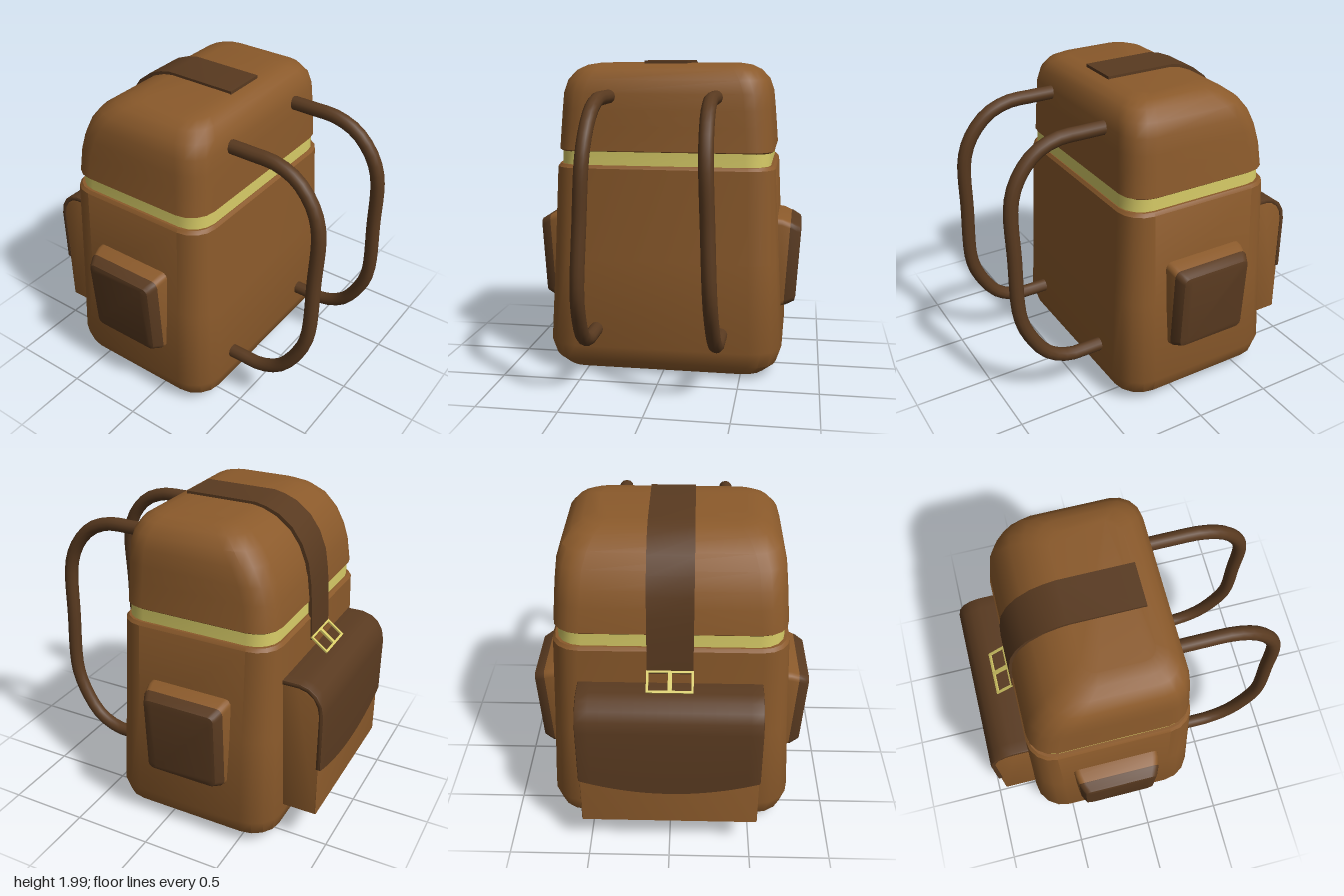
import * as THREE from 'three';
import { toCreasedNormals } from 'three/addons/utils/BufferGeometryUtils.js';

const leather = new THREE.MeshStandardMaterial({ color: 0x8b5a2b });
const darkLeather = new THREE.MeshStandardMaterial({ color: 0x593a20 });
const yellow = new THREE.MeshStandardMaterial({ color: 0xd6ca66 });

function part(parent, name, geometry, material) {
  const mesh = new THREE.Mesh(geometry, material);
  mesh.name = name;
  parent.add(mesh);
  return mesh;
}

// Closed loft of rounded rectangles; each section is [y, halfWidth, zFront, zBack, cornerRadius]
function loft(sections, crease = 0.6, steps = 4) {
  const pos = [], index = [];
  const n = 4 * (steps + 1);
  for (const [y, hx, zf, zb, r] of sections) {
    const zc = (zf + zb) / 2, hz = (zf - zb) / 2;
    for (let q = 0; q < 4; q++) {
      const sx = q === 0 || q === 3 ? 1 : -1, sz = q < 2 ? 1 : -1;
      for (let k = 0; k <= steps; k++) {
        const a = (q + k / steps) * Math.PI / 2;
        pos.push(sx * (hx - r) + r * Math.cos(a), y, zc + sz * (hz - r) + r * Math.sin(a));
      }
    }
  }
  const last = sections.length - 1;
  for (let j = 0; j < last; j++) {
    for (let i = 0; i < n; i++) {
      const a = j * n + i, b = j * n + (i + 1) % n;
      index.push(a, a + n, b, b, a + n, b + n);
    }
  }
  for (let i = 1; i < n - 1; i++) {
    index.push(0, i, i + 1, last * n, last * n + i + 1, last * n + i);
  }
  const geo = new THREE.BufferGeometry();
  geo.setAttribute('position', new THREE.Float32BufferAttribute(pos, 3));
  geo.setIndex(index);
  return toCreasedNormals(geo, crease);
}

// Side profile of [z, y] points extruded across x; rule may move the vertices
function across(profile, width, steps = 1, bevel = 0, rule = null) {
  const shape = new THREE.Shape(profile.map(([z, y]) => new THREE.Vector2(-z, y)));
  const depth = width - 2 * bevel;
  const geo = new THREE.ExtrudeGeometry(shape, {
    depth, steps, bevelEnabled: bevel > 0, bevelSize: bevel, bevelThickness: bevel,
    bevelOffset: -bevel, bevelSegments: 2,
  });
  geo.translate(0, 0, -depth / 2);
  geo.rotateY(Math.PI / 2);
  if (rule) {
    const p = geo.attributes.position;
    for (let i = 0; i < p.count; i++) p.setY(i, rule(p.getX(i), p.getY(i), p.getZ(i)));
  }
  return toCreasedNormals(geo, 0.6);
}

// Thin closed band: a path of [z, y] points thickened along its normal
function band(path, thickness) {
  const inner = path.map(([z, y], i) => {
    const a = path[Math.max(i - 1, 0)], b = path[Math.min(i + 1, path.length - 1)];
    const dz = b[0] - a[0], dy = b[1] - a[1], l = Math.hypot(dz, dy);
    return [z - dy / l * thickness, y + dz / l * thickness];
  });
  return [...path, ...inner.reverse()];
}

export function createModel() {
  const bag = new THREE.Group();
  bag.name = 'backpack';

  // Main compartment, yellow seam and lid
  part(bag, 'body', loft([
    [0.005, 0.55, 0.24, -0.58, 0.1], [0.03, 0.65, 0.31, -0.65, 0.14],
    [0.09, 0.725, 0.36, -0.7, 0.18], [0.19, 0.758, 0.385, -0.722, 0.2],
    [0.75, 0.725, 0.36, -0.7, 0.18], [1.335, 0.695, 0.335, -0.68, 0.16],
    [1.355, 0.68, 0.32, -0.665, 0.15],
  ]), leather);
  part(bag, 'seamBand', loft([
    [1.34, 0.665, 0.315, -0.655, 0.15], [1.45, 0.662, 0.312, -0.65, 0.15],
  ]), yellow);
  part(bag, 'lid', loft([
    [1.435, 0.67, 0.305, -0.655, 0.15], [1.445, 0.684, 0.32, -0.667, 0.16],
    [1.6, 0.672, 0.314, -0.647, 0.16], [1.7, 0.664, 0.31, -0.617, 0.16],
    [1.8, 0.655, 0.304, -0.567, 0.16], [1.88, 0.63, 0.288, -0.505, 0.16],
    [1.94, 0.575, 0.25, -0.42, 0.14], [1.97, 0.515, 0.2, -0.345, 0.12],
    [1.982, 0.44, 0.14, -0.28, 0.08],
  ]), leather);

  // Strap over the lid, running down the back to the buckle
  part(bag, 'lidStrap', across(band([
    [0.155, 1.998], [-0.3, 1.998], [-0.37, 1.982], [-0.45, 1.95], [-0.54, 1.88],
    [-0.605, 1.79], [-0.65, 1.68], [-0.672, 1.55], [-0.685, 1.4], [-0.695, 1.19],
  ], 0.022), 0.27), darkLeather);

  // Buckle: flat frame with a middle bar
  const frame = new THREE.Shape();
  const rect = (path, x0, y0, x1, y1) => {
    path.moveTo(x0, y0).lineTo(x1, y0).lineTo(x1, y1).lineTo(x0, y1).closePath();
    return path;
  };
  rect(frame, -0.138, 0, 0.138, 0.135);
  for (const [a, b] of [[-0.124, -0.012], [0.012, 0.124]]) {
    frame.holes.push(rect(new THREE.Path(), a, 0.014, b, 0.121));
  }
  const buckleGeo = new THREE.ExtrudeGeometry(frame, { depth: 0.012, bevelEnabled: false });
  const buckle = part(bag, 'buckle', buckleGeo, yellow);
  buckle.position.set(0, 1.205, -0.685);
  buckle.rotation.x = Math.PI + 0.92;

  // Back pocket and its curved flap
  part(bag, 'backPocket', across([
    [-0.62, 0.24], [-0.62, 1.1], [-0.78, 1.1], [-0.86, 1.07], [-0.91, 1.02],
    [-0.93, 0.93], [-0.932, 0.24],
  ], 1.08, 1, 0.008), leather);
  part(bag, 'pocketFlap', across(band([
    [-0.64, 1.12], [-0.79, 1.12], [-0.85, 1.103], [-0.9, 1.065], [-0.932, 1.01],
    [-0.946, 0.94], [-0.946, 0.48],
  ], 0.03), 1.09, 16, 0.008,
  (x, y) => y < 0.6 ? y + 0.09 * (x / 0.54) ** 2 : y), darkLeather);

  // Side pockets: pale base with a dark padded panel
  for (const side of [1, -1]) {
    const pocket = new THREE.Group();
    pocket.name = side > 0 ? 'leftSidePocket' : 'rightSidePocket';
    part(pocket, 'pocketBase', loft([
      [-0.08, 0.3, 0.105, -0.445, 0.04], [0.0, 0.295, 0.1, -0.44, 0.04],
      [0.06, 0.275, 0.086, -0.426, 0.04],
    ]), leather);
    part(pocket, 'pocketPanel', loft([
      [0.03, 0.28, 0.089, -0.429, 0.04], [0.06, 0.277, 0.088, -0.428, 0.04],
      [0.1, 0.258, 0.07, -0.41, 0.04], [0.116, 0.25, 0.06, -0.4, 0.035],
      [0.122, 0.225, 0.035, -0.375, 0.03],
    ], 0.7), darkLeather);
    pocket.position.set(side * 0.728, 0.707, 0);
    pocket.rotation.z = -side * (Math.PI / 2 + 0.06);
    bag.add(pocket);
  }

  // Shoulder straps: bent tubes leaning outward towards the bottom
  const strapPath = [
    [0.26, 1.78], [0.45, 1.78], [0.6, 1.775], [0.74, 1.72], [0.85, 1.6], [0.907, 1.45],
    [0.913, 1.1], [0.907, 0.7], [0.85, 0.54], [0.74, 0.385], [0.6, 0.315],
    [0.45, 0.31], [0.3, 0.31],
  ];
  for (const [name, top, bottom] of [['leftStrap', 0.33, 0.382], ['rightStrap', -0.335, -0.415]]) {
    const curve = new THREE.CatmullRomCurve3(strapPath.map(([z, y]) =>
      new THREE.Vector3(THREE.MathUtils.mapLinear(y, 1.78, 0.31, top, bottom), y, z)));
    part(bag, name, new THREE.TubeGeometry(curve, 36, 0.043, 12), darkLeather);
  }

  return bag;
}
